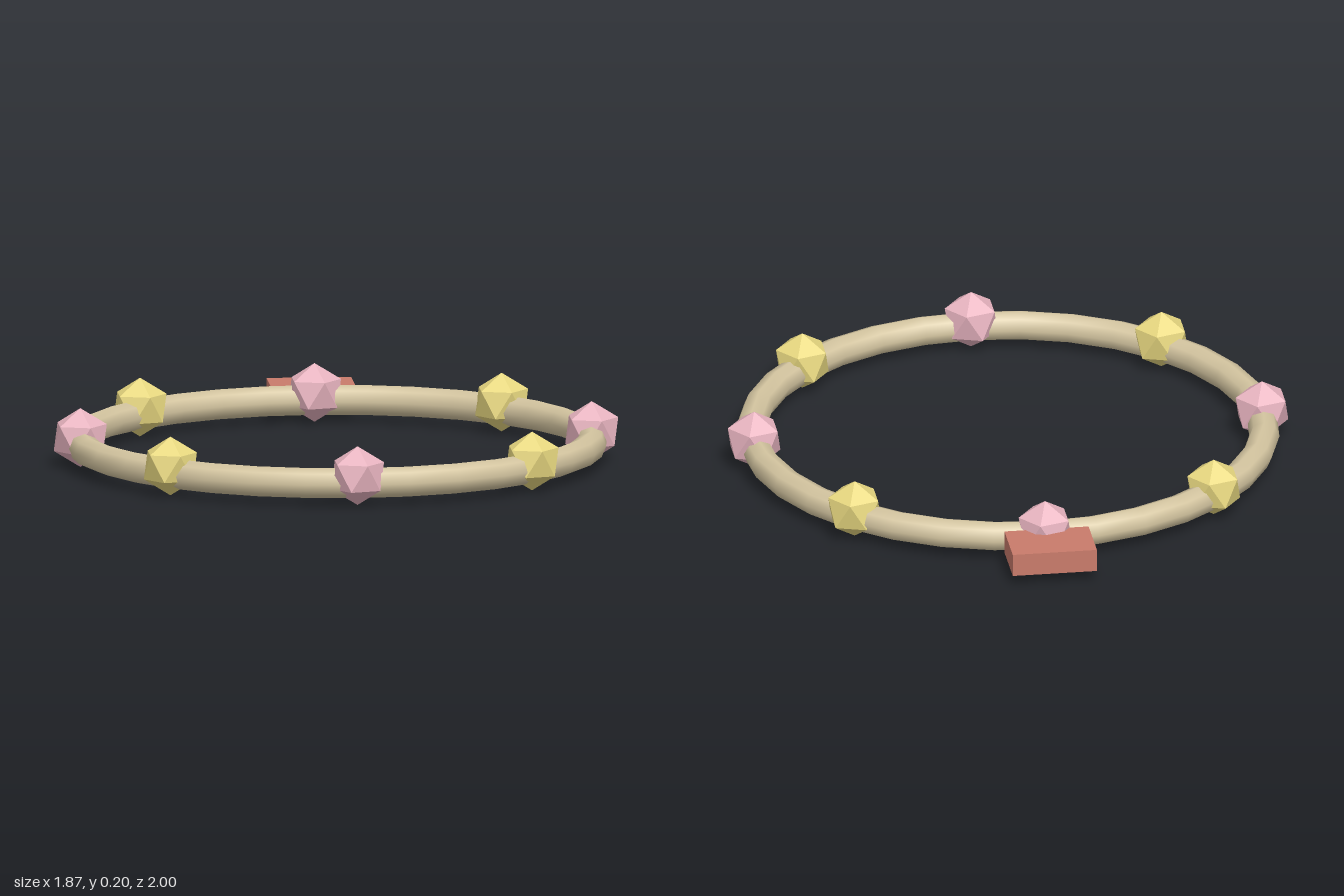
import * as THREE from 'three';

const RING_RADIUS = 0.845;
const RING_Z = 0.07;
const RING_Y = 0.075;

export function createModel() {
  const model = new THREE.Group();
  model.name = 'gemmedRing';

  const material = (color, flatShading = false) => {
    const m = new THREE.MeshStandardMaterial({ color });
    m.flatShading = flatShading;
    return m;
  };
  const add = (name, geometry, mat, x, y, z) => {
    const mesh = new THREE.Mesh(geometry, mat);
    mesh.name = name;
    mesh.position.set(x, y, z);
    model.add(mesh);
  };

  // Hoop lying flat
  const hoop = new THREE.TorusGeometry(RING_RADIUS, 0.05, 8, 32).rotateX(Math.PI / 2);
  add('hoop', hoop, material(0xd4c5a0), 0, RING_Y, RING_Z);

  // Eight gems, alternating colours, each standing on a vertex
  const gem = new THREE.IcosahedronGeometry(0.098, 0).rotateZ(-0.5536);
  const pink = material(0xe8b4c0, true);
  const yellow = material(0xe8d880, true);
  for (let i = 0; i < 8; i++) {
    const a = (i * Math.PI) / 4;
    const isPink = i % 2 === 0;
    add(isPink ? 'pinkGem' : 'yellowGem', gem, isPink ? pink : yellow,
      RING_RADIUS * Math.cos(a), 0.1, RING_Z + RING_RADIUS * Math.sin(a));
  }

  // Clasp block at the back
  add('clasp', new THREE.BoxGeometry(0.28, 0.076, 0.19), material(0xc97b6b), 0, RING_Y, -0.905);

  return model;
}
